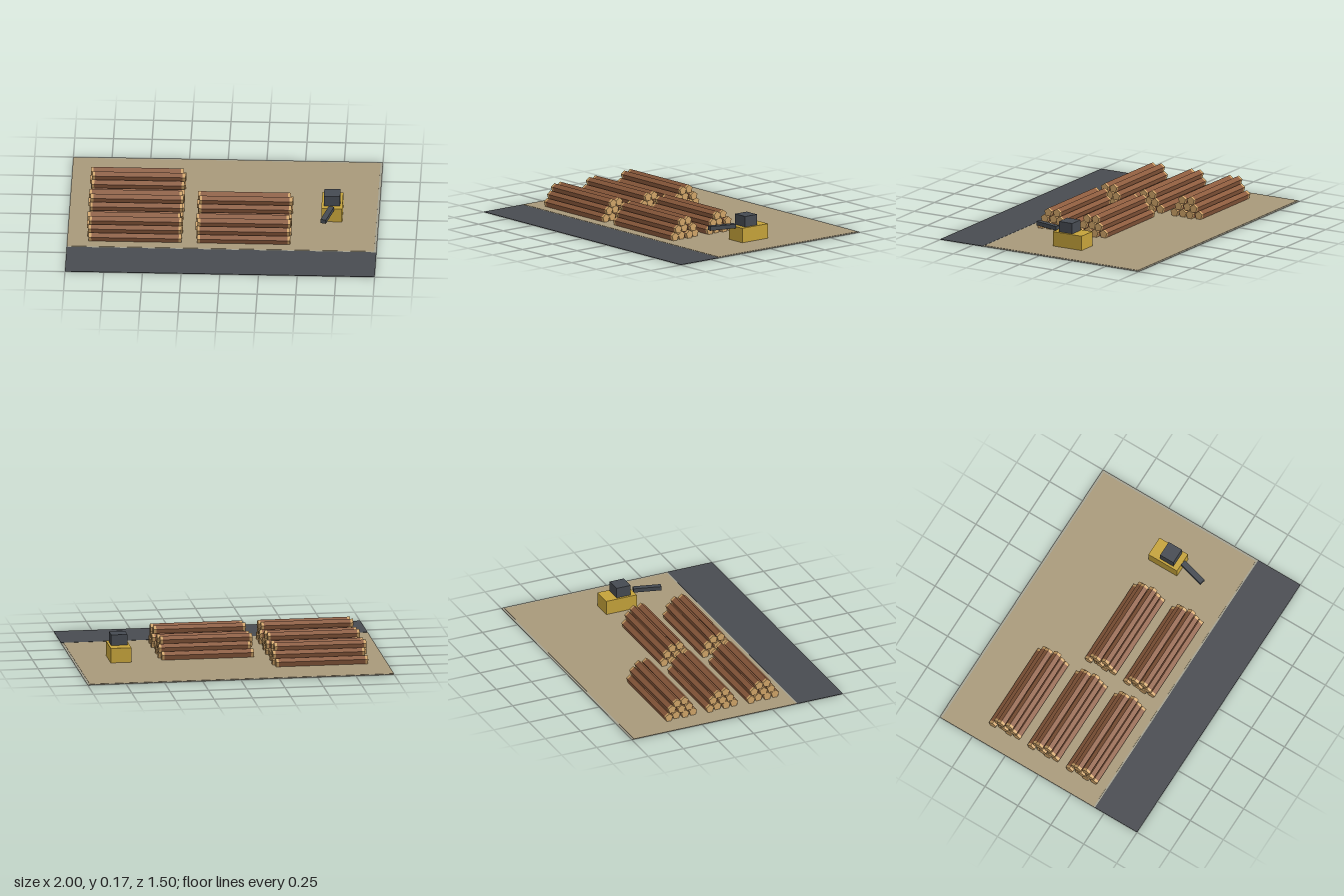
import * as THREE from 'three';

const material = (name, color) => {
  const m = new THREE.MeshStandardMaterial({ color });
  m.name = name;
  return m;
};

export function createModel() {
  const model = new THREE.Group();
  model.name = 'logYard';

  const border = material('paleBorder', 0xa3a08f);
  const sand = material('sand', 0xa8997a);
  const asphalt = material('asphalt', 0x484b50);
  const bark = material('bark', 0x8b5a3c);
  const cutWood = material('cutWood', 0xd0a468);
  const yellow = material('machineYellow', 0xc4a23a);
  const dark = material('machineDark', 0x454a51);

  // Box given by its limits on each axis
  const box = (name, mat, [x0, x1], [y0, y1], [z0, z1], parent = model) => {
    const mesh = new THREE.Mesh(new THREE.BoxGeometry(x1 - x0, y1 - y0, z1 - z0), mat);
    mesh.position.set((x0 + x1) / 2, (y0 + y1) / 2, (z0 + z1) / 2);
    mesh.name = name;
    parent.add(mesh);
    return mesh;
  };

  // Ground
  box('yardBase', border, [-1, 1], [0, 0.002], [-0.75, 0.43]);
  box('yardSurface', sand, [-1, 0.985], [0.002, 0.004], [-0.735, 0.42]);
  box('road', asphalt, [-1, 1], [0, 0.003], [0.43, 0.75]);

  // Five-sided log along x, one corner up, with pale cut ends
  const radius = 0.029, barkLength = 0.565, capLength = 0.018;
  const prism = (length) => {
    const geometry = new THREE.CylinderGeometry(radius, radius, length, 5).toNonIndexed();
    geometry.rotateZ(Math.PI / 2);
    geometry.rotateX(-Math.PI / 2);
    geometry.computeVertexNormals();
    return geometry;
  };
  const barkGeometry = prism(barkLength);
  const capGeometry = prism(capLength);

  const addLog = (pile, x, y, z) => {
    const log = new THREE.Group();
    log.name = 'log';
    log.position.set(x, y, z);
    const trunk = new THREE.Mesh(barkGeometry, bark);
    trunk.name = 'logBark';
    log.add(trunk);
    for (const side of [-1, 1]) {
      const cap = new THREE.Mesh(capGeometry, cutWood);
      cap.name = 'logEnd';
      cap.position.x = side * (barkLength + capLength) / 2;
      log.add(cap);
    }
    pile.add(log);
  };

  // Piles of four, three and two logs, with slightly uneven ends
  const pitch = 0.0587;
  const shifts = [-0.007, 0.008, -0.002, 0.005, 0.009, -0.009, 0.002, -0.005, 0.006];
  for (const [x, z] of [[-0.567, -0.338], [-0.567, -0.046], [-0.567, 0.246], [0.135, -0.046], [0.135, 0.246]]) {
    const pile = new THREE.Group();
    pile.name = 'logPile';
    pile.position.set(x, 0, z);
    let n = 0;
    for (let row = 0; row < 3; row++) {
      const count = 4 - row;
      for (let i = 0; i < count; i++) {
        addLog(pile, shifts[n++], 0.028 + row * 0.045, (i - (count - 1) / 2) * pitch);
      }
    }
    model.add(pile);
  }

  // Yard machine with its arm swung towards the road
  const machine = new THREE.Group();
  machine.name = 'yardMachine';
  box('machineBody', yellow, [0.63, 0.765], [0.004, 0.1], [-0.175, 0.042], machine);
  box('machineCab', dark, [0.645, 0.75], [0.1, 0.17], [-0.095, 0.005], machine);
  const arm = box('machineArm', dark, [0.654, 0.69], [0.093, 0.12], [0.044, 0.226], machine);
  arm.rotation.y = -0.26;
  model.add(machine);

  return model;
}
